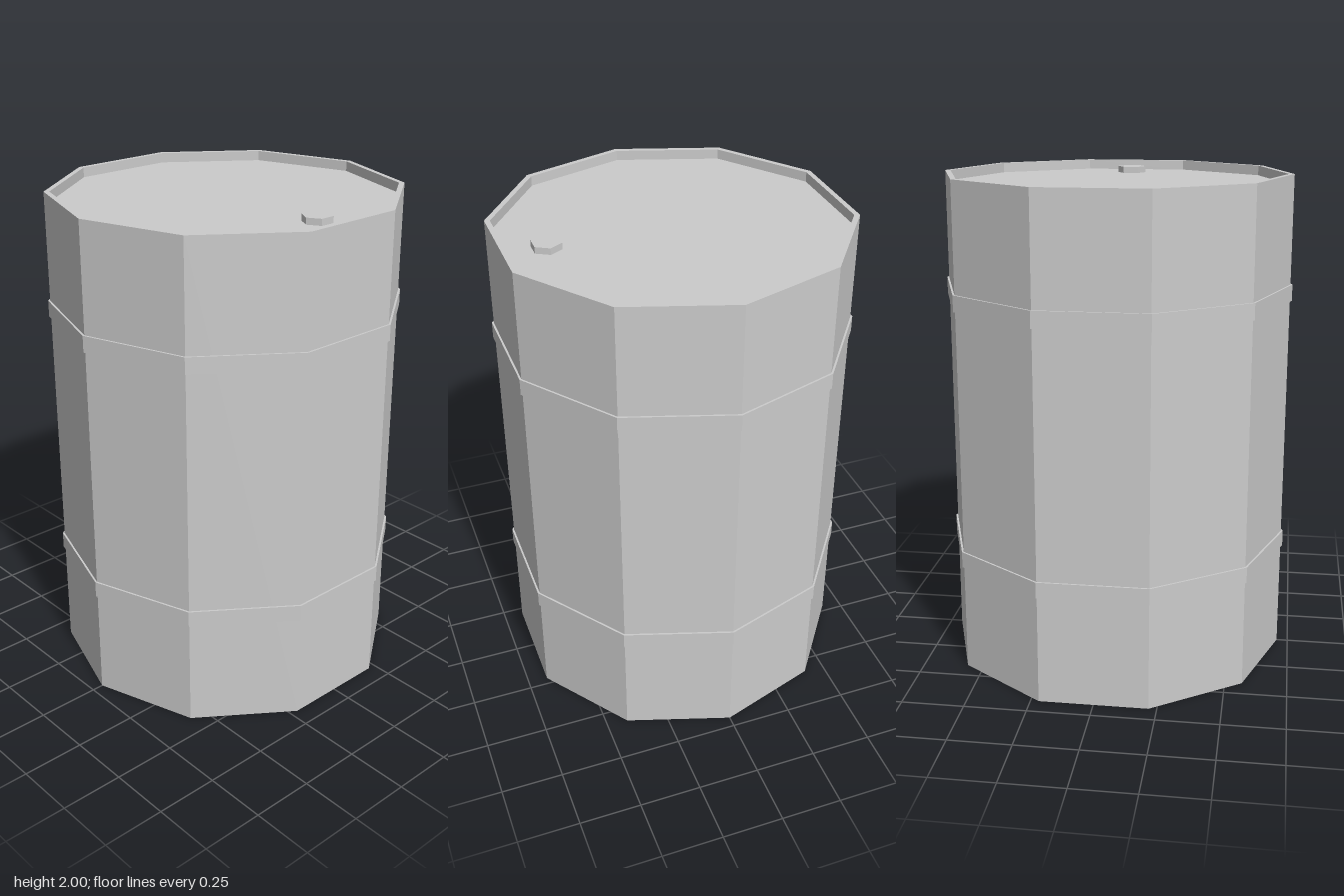
import * as THREE from 'three';

const SIDES = 10;

export function createModel() {
  const group = new THREE.Group();
  const material = new THREE.MeshStandardMaterial({ color: 0xcccccc, flatShading: true });

  const add = (name, geometry, x = 0, y = 0, z = 0) => {
    const mesh = new THREE.Mesh(geometry, material);
    mesh.name = name;
    mesh.position.set(x, y, z);
    group.add(mesh);
  };
  const lathe = (points) =>
    new THREE.LatheGeometry(points.map(([r, y]) => new THREE.Vector2(r, y)), SIDES);

  // Ten-sided drum with a thin rim around the recessed lid and base
  const outer = 0.704, inner = 0.682, recess = 0.04;
  add('drumBody', lathe([
    [0, recess], [inner, recess], [inner, 0], [outer, 0],
    [outer, 2], [inner, 2], [inner, 2 - recess], [0, 2 - recess],
  ]));

  // Two reinforcing hoops
  const hoop = 0.712, half = 0.033;
  for (const [name, y] of [['lowerHoop', 0.475], ['upperHoop', 1.53]]) {
    add(name, lathe([
      [inner, -half], [hoop, -half], [hoop, half], [inner, half],
    ]), 0, y, 0);
  }

  // Hexagonal filler cap on the lid
  const capHeight = 0.026;
  add('fillerCap', new THREE.CylinderGeometry(0.06, 0.06, capHeight, 6),
    0.49, 2 - recess + capHeight / 2, 0);

  return group;
}
